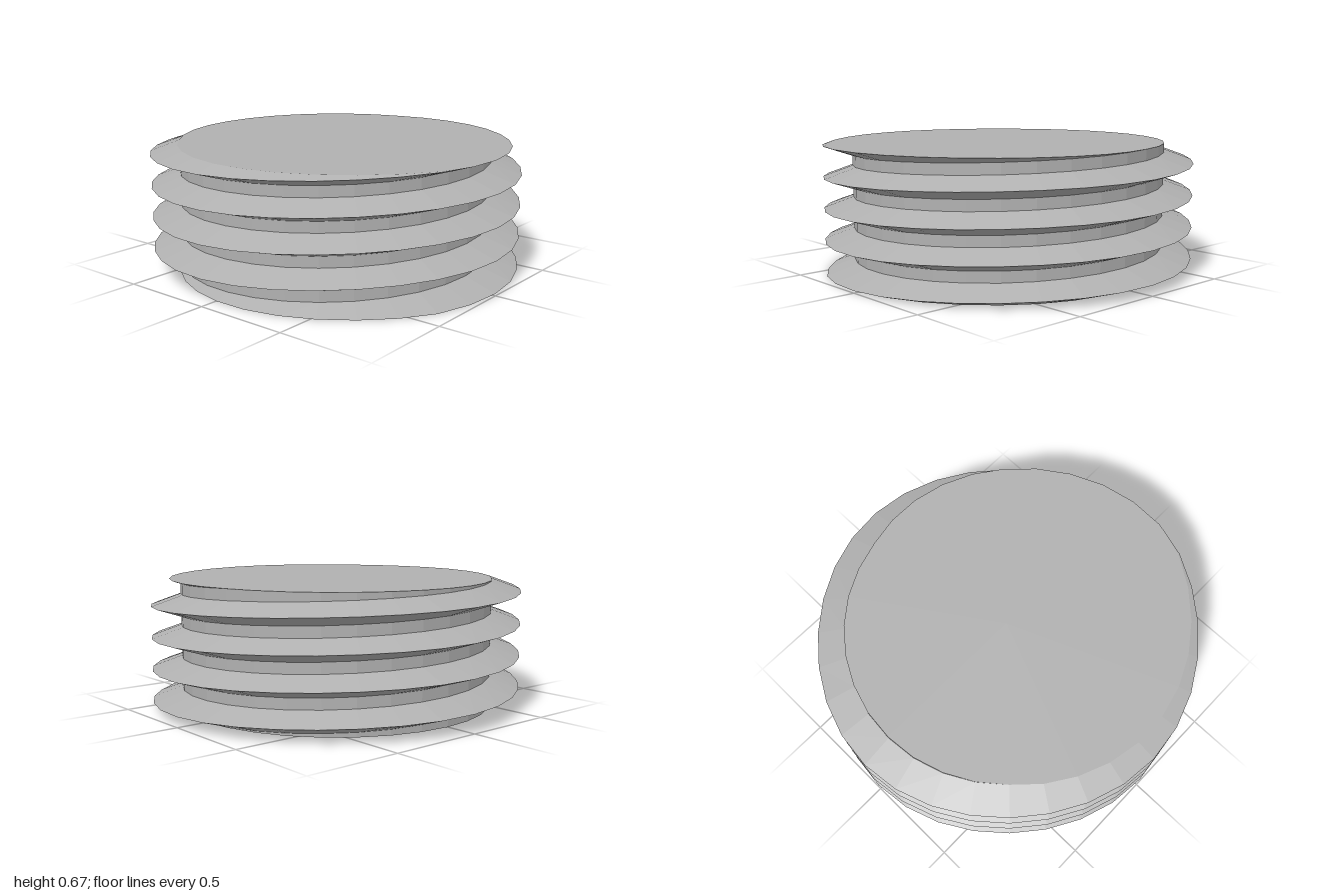
import * as THREE from 'three';

const HEIGHT = 0.67, PITCH = 1 / 6, CORE = 0.83, HALF = 0.055, SIDES = 32, START = 0.011;
const TURNS = [-1, 0, 1, 2, 3, 4];

// Height of the thread crest on turn k at angle a (0 = +z, growing towards +x)
const crestY = (k, a) => START + PITCH * (k + a / (2 * Math.PI));

// Radius of the threaded wall; the crest is a slightly squared-off circle
function radiusAt(a, y) {
  const d = Math.min(...TURNS.map((k) => Math.abs(y - crestY(k, a))));
  const crest = 0.99 + 0.01 * Math.cos(4 * a);
  return CORE + (crest - CORE) * Math.max(0, 1 - d / HALF);
}

// One vertical section: root, crest, root of each turn, cut off at both ends
function column(a) {
  const ys = [0];
  for (const k of TURNS) {
    for (const o of [-HALF, 0, HALF]) ys.push(THREE.MathUtils.clamp(crestY(k, a) + o, 0, HEIGHT));
  }
  ys.push(HEIGHT);
  return ys.map((y) => {
    const r = radiusAt(a, y);
    return new THREE.Vector3(r * Math.sin(a), y, r * Math.cos(a));
  });
}

// Flat-faced geometry from triangles, leaving out collapsed ones
function facets(triangles) {
  const positions = [];
  for (const [a, b, c] of triangles) {
    if (new THREE.Triangle(a, b, c).getArea() < 1e-7) continue;
    for (const p of [a, b, c]) positions.push(p.x, p.y, p.z);
  }
  const geometry = new THREE.BufferGeometry();
  geometry.setAttribute('position', new THREE.Float32BufferAttribute(positions, 3));
  geometry.computeVertexNormals();
  return geometry;
}

export function createModel() {
  const group = new THREE.Group();
  group.name = 'threadedPlug';
  const metal = new THREE.MeshStandardMaterial({ color: 0xb0b0b0 });
  metal.name = 'plain grey';
  metal.flatShading = true;

  const columns = [];
  for (let j = 0; j <= SIDES; j++) columns.push(column((j / SIDES) * 2 * Math.PI));

  const wall = [], top = [], bottom = [];
  const topCentre = new THREE.Vector3(0, HEIGHT, 0), bottomCentre = new THREE.Vector3();
  for (let j = 0; j < SIDES; j++) {
    const p = columns[j], q = columns[j + 1], last = p.length - 1;
    for (let i = 0; i < last; i++) {
      wall.push([p[i], q[i], q[i + 1]], [p[i], q[i + 1], p[i + 1]]);
    }
    top.push([topCentre, p[last], q[last]]);
    bottom.push([bottomCentre, q[0], p[0]]);
  }

  // Helical wall and the two flat ends
  for (const [name, triangles] of Object.entries({ thread: wall, topFace: top, bottomFace: bottom })) {
    const mesh = new THREE.Mesh(facets(triangles), metal);
    mesh.name = name;
    group.add(mesh);
  }
  return group;
}
